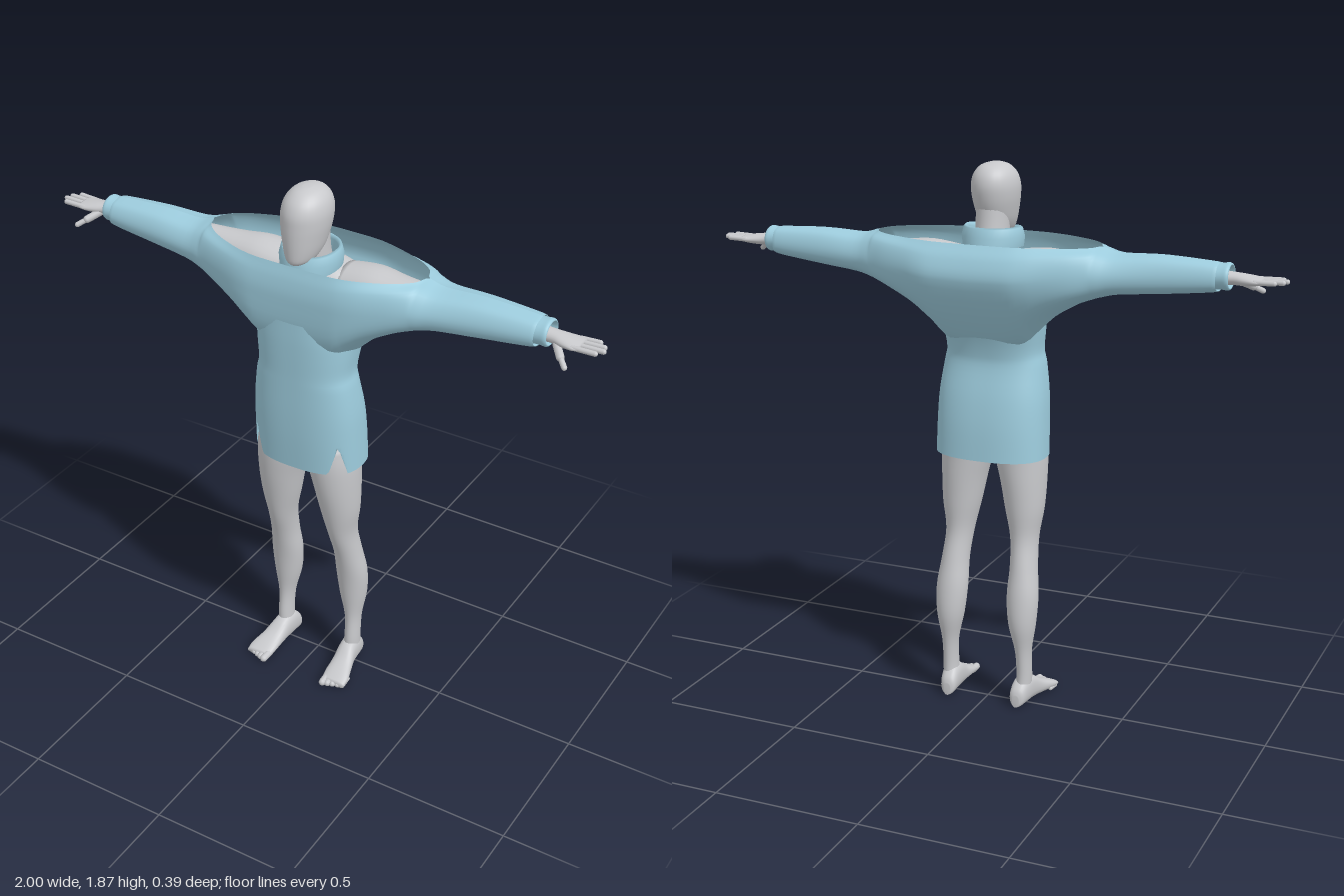
import * as THREE from 'three';

const skin = new THREE.MeshStandardMaterial({ color: 0xc8c9cc });
skin.name = 'mannequin grey';
const cloth = new THREE.MeshStandardMaterial({ color: 0x9dccdd, side: THREE.DoubleSide });
cloth.name = 'sweater blue';

const V = (x, y, z) => new THREE.Vector3(x, y, z);

// Smoothly interpolates rows of numbers, n steps per interval
function smooth(rows, n) {
  const out = [];
  const at = (i) => rows[Math.min(rows.length - 1, Math.max(0, i))];
  for (let i = 0; i < rows.length - 1; i++) {
    for (let k = 0; k < n; k++) {
      const t = k / n;
      out.push(rows[i].map((p1, c) => {
        const p0 = at(i - 1)[c], p2 = at(i + 1)[c], p3 = at(i + 2)[c];
        return p1 + 0.5 * t * (p2 - p0 + t * (2 * p0 - 5 * p1 + 4 * p2 - p3 + t * (3 * (p1 - p2) + p3 - p0)));
      }));
    }
  }
  out.push(at(rows.length));
  return out;
}

// Skins a list of rings; optional end caps, winding turned outwards
function loft(rings, { caps = true, closed = true } = {}) {
  const n = rings[0].length, pts = rings.flat(), idx = [];
  const cols = closed ? n : n - 1;
  for (let i = 0; i < rings.length - 1; i++) {
    for (let j = 0; j < cols; j++) {
      const a = i * n + j, b = i * n + (j + 1) % n;
      idx.push(a, b, a + n, b, b + n, a + n);
    }
  }
  if (caps) {
    [0, rings.length - 1].forEach((r, e) => {
      const mid = rings[r].reduce((s, p) => s.add(p), V(0, 0, 0)).divideScalar(n);
      const c = pts.push(mid) - 1;
      for (let j = 0; j < n; j++) {
        const a = r * n + j, b = r * n + (j + 1) % n;
        if (e) idx.push(c, a, b); else idx.push(c, b, a);
      }
    });
  }
  const centre = pts.reduce((s, p) => s.add(p), V(0, 0, 0)).divideScalar(pts.length);
  let volume = 0;
  for (let i = 0; i < idx.length; i += 3) {
    const [a, b, c] = [0, 1, 2].map((k) => pts[idx[i + k]].clone().sub(centre));
    volume += a.dot(b.cross(c));
  }
  if (volume < 0) idx.reverse();
  const g = new THREE.BufferGeometry().setFromPoints(pts);
  g.setIndex(idx);
  g.computeVertexNormals();
  return g;
}

// Superellipse point on the unit circle
const power = (v, e) => Math.sign(v) * Math.abs(v) ** e;
function oval(n, e, fn) {
  return Array.from({ length: n }, (_, j) => {
    const t = (j / n) * Math.PI * 2;
    return fn(power(Math.cos(t), e), power(Math.sin(t), e), t);
  });
}

// Upright form from rows [y, xMin, xMax, zFront, zBack]
const upright = (rows, steps = 4, e = 1) => loft(smooth(rows, steps).map(([y, x0, x1, f, b]) =>
  oval(28, e, (c, s) => V((x0 + x1) / 2 + c * (x1 - x0) / 2, y, (f + b) / 2 + s * (f - b) / 2))));

// Sideways form from rows [x, yCentre, yRadius, zCentre, zRadius]
const sideways = (rows, side, options) => loft(smooth(rows, 4).map(([x, y, ry, z, rz]) =>
  oval(24, 1, (c, s) => V(side * x, y + s * ry, z + c * rz))), options);

export function createModel() {
  const model = new THREE.Group();
  model.name = 'mannequinInSweater';
  const add = (name, geometry, material) => {
    const m = new THREE.Mesh(geometry, material);
    m.name = name;
    model.add(m);
    return m;
  };
  const rod = (name, a, b, r) => {
    const d = b.clone().sub(a);
    const m = add(name, new THREE.CapsuleGeometry(r, d.length(), 5, 10), skin);
    m.position.copy(a).addScaledVector(d, 0.5);
    m.quaternion.setFromUnitVectors(V(0, 1, 0), d.normalize());
  };

  // Head, neck and hidden trunk
  add('head', upright([
    [1.635, -0.028, 0.028, 0.156, 0.07], [1.648, -0.045, 0.045, 0.164, 0.035],
    [1.68, -0.06, 0.06, 0.167, 0], [1.72, -0.07, 0.07, 0.168, -0.02],
    [1.76, -0.077, 0.077, 0.167, -0.032], [1.8, -0.078, 0.078, 0.163, -0.036],
    [1.835, -0.068, 0.068, 0.146, -0.026], [1.86, -0.045, 0.045, 0.115, 0],
    [1.87, -0.014, 0.014, 0.08, 0.045]]), skin);
  add('neck', upright([
    [1.5, -0.08, 0.08, 0.09, -0.08], [1.58, -0.06, 0.06, 0.09, -0.05],
    [1.65, -0.055, 0.055, 0.1, -0.03], [1.74, -0.055, 0.055, 0.1, -0.02]]), skin);
  add('trunk', upright([
    [0.87, -0.1, 0.1, 0.11, -0.03], [0.95, -0.17, 0.17, 0.15, -0.06],
    [1.05, -0.165, 0.165, 0.16, -0.05], [1.22, -0.14, 0.14, 0.15, -0.03],
    [1.4, -0.16, 0.16, 0.15, -0.07], [1.5, -0.18, 0.18, 0.13, -0.1],
    [1.57, -0.16, 0.16, 0.09, -0.09], [1.605, -0.08, 0.08, 0.07, -0.06]]), skin);

  for (const side of [1, -1]) {
    const label = side > 0 ? 'left' : 'right';

    // Leg
    add(label + 'Leg', upright([
      [0.03, 0.105, 0.163, 0.03, -0.05], [0.1, 0.113, 0.165, 0.032, -0.042],
      [0.2, 0.11, 0.166, 0.025, -0.05], [0.3, 0.087, 0.182, 0.034, -0.068],
      [0.4, 0.077, 0.187, 0.046, -0.062], [0.5, 0.08, 0.175, 0.068, -0.042],
      [0.6, 0.072, 0.168, 0.1, -0.024], [0.7, 0.05, 0.182, 0.125, -0.03],
      [0.8, 0.03, 0.187, 0.145, -0.036], [0.9, 0.006, 0.188, 0.155, -0.04],
      [0.97, 0.01, 0.18, 0.15, -0.05]
    ].map(([y, a, b, f, k]) => [y, side * a, side * b, f, k])), skin);

    // Foot, from heel to ball: [z, xCentre, halfWidth, top]
    add(label + 'Foot', loft(smooth([
      [-0.066, 0.13, 0.012, 0.045], [-0.055, 0.131, 0.026, 0.07], [-0.02, 0.134, 0.032, 0.1],
      [0.03, 0.138, 0.034, 0.095], [0.08, 0.146, 0.04, 0.062], [0.13, 0.154, 0.047, 0.04],
      [0.165, 0.157, 0.044, 0.024]], 4).map(([z, x, w, top]) =>
      oval(24, 0.85, (c, s) => V(side * (x + c * w), 0.003 + (top - 0.003) * (s + 1) / 2, z)))), skin);
    for (let i = 0; i < 5; i++) {
      const r = 0.013 - i * 0.0012, x = 0.124 + i * 0.017, tip = 0.178 - i * 0.006;
      rod(label + 'Toe', V(side * (x - 0.002), r + 0.003, tip - 0.04), V(side * x, r, tip), r);
    }

    // Arm and palm
    add(label + 'Arm', sideways([
      [0.1, 1.53, 0.07, -0.005, 0.085], [0.2, 1.548, 0.064, -0.005, 0.085],
      [0.3, 1.55, 0.055, 0, 0.07], [0.42, 1.55, 0.05, 0.002, 0.056],
      [0.6, 1.555, 0.042, 0.006, 0.046], [0.75, 1.56, 0.028, 0.008, 0.033],
      [0.82, 1.562, 0.021, 0.01, 0.028], [0.86, 1.56, 0.019, 0.012, 0.036],
      [0.9, 1.559, 0.014, 0.012, 0.043], [0.922, 1.56, 0.009, 0.012, 0.04]], side), skin);

    // Fingers and thumb
    [[-0.021, -0.023, 0.962], [0.0, -0.002, 0.985], [0.022, 0.021, 0.992], [0.044, 0.045, 0.975]]
      .forEach(([z0, z1, x]) => rod(label + 'Finger', V(side * 0.9, 1.56, z0), V(side * x, 1.562, z1), 0.0085));
    rod(label + 'Thumb', V(side * 0.845, 1.55, 0.03), V(side * 0.875, 1.53, 0.065), 0.013);
    rod(label + 'ThumbTip', V(side * 0.872, 1.532, 0.062), V(side * 0.9, 1.513, 0.088), 0.009);

    // Cuff
    add(label + 'Cuff', sideways([
      [0.75, 1.565, 0.043, 0.007, 0.05], [0.79, 1.567, 0.042, 0.007, 0.049],
      [0.812, 1.567, 0.044, 0.007, 0.049], [0.818, 1.567, 0.036, 0.007, 0.042],
      [0.79, 1.567, 0.034, 0.007, 0.04]], side, { caps: false }), cloth);
  }

  // Sweater yoke and sleeves in one open-topped form:
  // [x, top, bottom, front, back, frontLip, backLip, bulgeHeight, lowBackFullness]
  const half = smooth([
    [0, 1.632, 1.27, 0.18, -0.193, 0.16, -0.148, 0.68, 0.55],
    [0.12, 1.632, 1.28, 0.18, -0.193, 0.158, -0.145, 0.68, 0.57],
    [0.18, 1.632, 1.335, 0.177, -0.184, 0.15, -0.135, 0.63, 0.65],
    [0.24, 1.632, 1.39, 0.165, -0.165, 0.132, -0.117, 0.58, 0.75],
    [0.32, 1.632, 1.438, 0.14, -0.138, 0.095, -0.085, 0.52, 0.83],
    [0.375, 1.632, 1.46, 0.12, -0.115, 0.05, -0.045, 0.5, 0.85],
    [0.4, 1.631, 1.468, 0.112, -0.106, 0, 0, 0.5, 0.85],
    [0.46, 1.617, 1.482, 0.096, -0.088, 0, 0, 0.5, 0.85],
    [0.6, 1.622, 1.495, 0.08, -0.068, 0, 0, 0.5, 0.85],
    [0.77, 1.613, 1.515, 0.065, -0.051, 0, 0, 0.5, 0.85],
    [0.771, 1.607, 1.523, 0.057, -0.043, 0, 0, 0.5, 0.85]], 4);
  const spans = [...half.slice(1).reverse().map(([x, ...r]) => [-x, ...r]), ...half];
  add('sweaterYokeAndSleeves', loft(spans.map(([x, top, low, f, b, lipF, lipB, mid, fullB]) => {
    const h = top - low, y = (k) => low + h * k;
    const gF = Math.max(0, lipF), gB = Math.min(0, lipB);
    const frontLow = 1 - (1 - fullB) * 0.35;
    return new THREE.CatmullRomCurve3([
      V(x, top, gF), V(x, y(0.87), gF + (f - gF) * 0.7), V(x, y(mid), f),
      V(x, y(mid * 0.35), f * Math.min(frontLow, 0.86)), V(x, low, (f + b) / 2),
      V(x, y(mid * 0.35), b * fullB), V(x, y(mid), b),
      V(x, y(0.87), gB + (b - gB) * 0.7), V(x, top, gB)]).getPoints(40);
  }), { caps: false, closed: false }), cloth);

  // Sweater body with two notches in the front hem: [y, halfWidth, front, back]
  const body = smooth([
    [0.89, 0.194, 0.17, -0.09], [1.0, 0.192, 0.177, -0.084], [1.1, 0.188, 0.18, -0.07],
    [1.2, 0.175, 0.18, -0.048], [1.25, 0.165, 0.18, -0.05], [1.32, 0.172, 0.181, -0.07],
    [1.38, 0.178, 0.181, -0.1], [1.44, 0.175, 0.179, -0.14]], 4);
  add('sweaterBody', loft(body.map(([y, w, f, b]) => oval(96, 0.8, (c, s, t) => {
    const notch = Math.max(0, 1 - Math.abs(Math.abs(t - Math.PI / 2) - 0.87) / 0.24);
    return V(c * w, Math.max(y, 0.89 + 0.115 * notch), (f + b) / 2 + s * (f - b) / 2);
  })), { caps: false }), cloth);

  // Collar band around the neck, turned over at the top
  add('collar', loft([[1.6, 0.1, 0.105], [1.635, 0.105, 0.1], [1.663, 0.098, 0.092],
    [1.668, 0.092, 0.086], [1.655, 0.086, 0.08], [1.6, 0.088, 0.082]].map(([y, rx, rz]) =>
    oval(36, 1, (c, s) => V(c * rx, y - 0.012 * Math.max(0, s), 0.042 + s * rz))), { caps: false }), cloth);

  return model;
}
